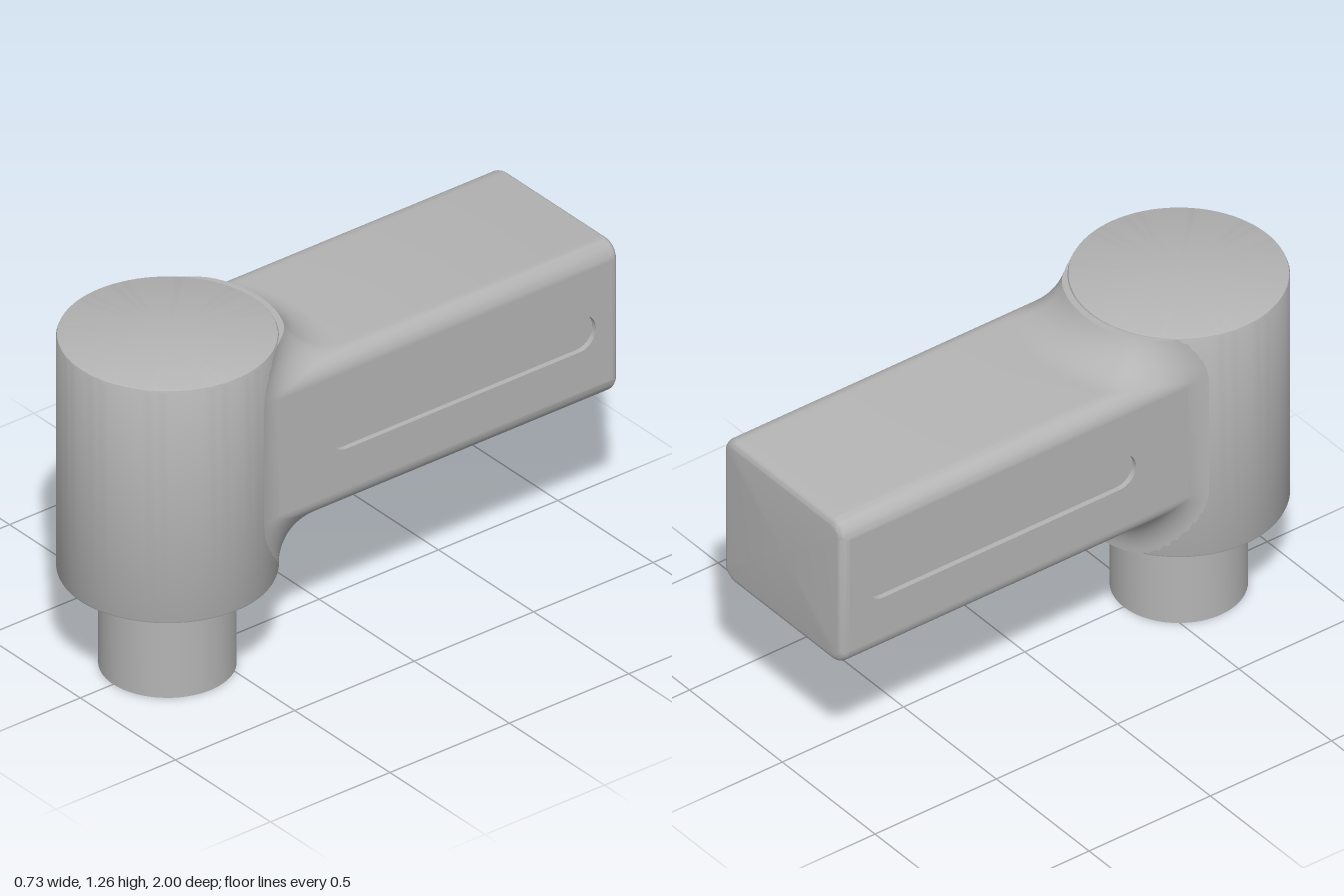
import * as THREE from 'three';
import { toCreasedNormals } from 'three/addons/utils/BufferGeometryUtils.js';

const AXIS_Z = 0.635, HEAD_R = 0.365, HEAD_TOP = 1.26, HEAD_BOTTOM = 0.365;
const ARM = { hw: 0.325, y0: 0.565, y1: 1.145, corner: 0.065, back: -1, endR: 0.03 };
const FILLET = 0.2, SLOT_DEPTH = 0.02;

// z of the rolling-ball centre that blends an arm point into the round head
const ballZ = (cx) => AXIS_Z - Math.sqrt((HEAD_R + FILLET) ** 2 - cx * cx);

// rounded rectangle outline, for shapes and holes
function roundedRect(path, cx, cy, w, h, r) {
  const x = w / 2 - r, y = h / 2 - r;
  path.absarc(cx + x, cy + y, r, 0, Math.PI / 2);
  path.absarc(cx - x, cy + y, r, Math.PI / 2, Math.PI);
  path.absarc(cx - x, cy - y, r, Math.PI, 1.5 * Math.PI);
  path.absarc(cx + x, cy - y, r, 1.5 * Math.PI, 2 * Math.PI);
  path.closePath();
  return path;
}

// arm cross-section: points with outward normals, counter-clockwise from the front
function armSection() {
  const pts = [], { hw, y0, y1, corner: c } = ARM, N = 10, FLAT = 28;
  const centres = [[hw - c, y1 - c], [c - hw, y1 - c], [c - hw, y0 + c], [hw - c, y0 + c]];
  centres.forEach(([x, y], k) => {
    for (let i = 0; i <= N; i++) {
      const a = (k + i / N) * Math.PI / 2, nx = Math.cos(a), ny = Math.sin(a);
      pts.push({ x: x + c * nx, y: y + c * ny, nx, ny, side: i === N && k % 2 === 1 - 1 ? false : false });
    }
    const last = pts[pts.length - 1];
    if (k % 2 === 0) { // top and bottom are subdivided to follow the head
      for (let i = 1; i < FLAT; i++) {
        pts.push({ ...last, x: last.x * (1 - 2 * i / FLAT) });
      }
    } else last.side = true; // a flat side starts here
  });
  return pts;
}

// arm body: rounded back end, straight run, then a concave fillet onto the head
function armGeometry() {
  const section = armSection(), n = section.length, END = 6, ARC = 14;
  const rows = [];
  for (let k = 0; k <= END; k++) {
    const a = (k / END) * Math.PI / 2, inset = ARM.endR * (1 - Math.sin(a));
    const z = ARM.back + ARM.endR * (1 - Math.cos(a));
    rows.push(section.map((p) => [p.x - p.nx * inset, p.y - p.ny * inset, z]));
  }
  const arcs = section.map((p) => {
    const c = new THREE.Vector3(p.x + FILLET * p.nx, p.y + FILLET * p.ny, 0);
    c.z = ballZ(c.x);
    const d0 = new THREE.Vector3(-p.nx, -p.ny, 0);
    const d1 = new THREE.Vector3(-c.x, 0, AXIS_Z - c.z).normalize();
    const angle = d0.angleTo(d1), limit = HEAD_TOP - 0.006;
    let end = 1; // the fillet is cut off level with the head top
    if (c.y > limit) end = 1 - Math.asin((c.y - limit) * Math.sin(angle) / (FILLET * p.ny)) / angle;
    const out = [];
    for (let k = 0; k <= ARC; k++) {
      const s = end * k / ARC;
      const v = c.clone()
        .addScaledVector(d0, FILLET * Math.sin((1 - s) * angle) / Math.sin(angle))
        .addScaledVector(d1, FILLET * Math.sin(s * angle) / Math.sin(angle));
      out.push([v.x, v.y, v.z]);
    }
    const t = c.clone().addScaledVector(d1, FILLET);
    out.push([t.x, Math.min(t.y, limit), t.z]);
    return out;
  });
  for (let k = 0; k <= ARC + 1; k++) rows.push(arcs.map((a) => a[k]));

  const pos = rows.flat(2), index = [];
  for (let j = 0; j < rows.length - 1; j++) {
    for (let i = 0; i < n; i++) {
      if (j === END && section[i].side) continue; // left open for the slotted side panel
      const a = j * n + i, b = j * n + (i + 1) % n;
      index.push(a, b, a + n, b, b + n, a + n);
    }
  }
  const centre = pos.length / 3;
  pos.push(0, (ARM.y0 + ARM.y1) / 2, ARM.back);
  for (let i = 0; i < n; i++) index.push(centre, (i + 1) % n, i);
  const g = new THREE.BufferGeometry();
  g.setAttribute('position', new THREE.Float32BufferAttribute(pos, 3));
  g.setIndex(index);
  return toCreasedNormals(g, 0.6);
}

function lathe(points) {
  const g = new THREE.LatheGeometry(points.map(([x, y]) => new THREE.Vector2(x, y)), 96);
  return toCreasedNormals(g, 0.5).translate(0, 0, AXIS_Z);
}

export function createModel() {
  const group = new THREE.Group();
  const grey = new THREE.MeshStandardMaterial({ color: 0xb4b4b4 });
  const add = (name, geometry) => {
    const mesh = new THREE.Mesh(geometry, grey);
    grey.name = 'grey';
    mesh.name = name;
    group.add(mesh);
    return mesh;
  };

  // round head with softened rims and a narrow gap around the spigot
  const e = 0.01;
  add('head', lathe([
    [0, 0.42], [0.243, 0.42], [0.243, HEAD_BOTTOM], [HEAD_R - e, HEAD_BOTTOM],
    [HEAD_R - e * 0.3, HEAD_BOTTOM + e * 0.3], [HEAD_R, HEAD_BOTTOM + e],
    [HEAD_R, HEAD_TOP - e], [HEAD_R - e * 0.3, HEAD_TOP - e * 0.3],
    [HEAD_R - e, HEAD_TOP], [0, HEAD_TOP],
  ]));

  // hollow spigot under the head
  add('spigotTube', lathe([[0.213, 0.42], [0.213, 0], [0.227, 0], [0.227, 0.42]]));

  add('arm', armGeometry());

  // flat arm sides with a long shallow slot
  const z0 = ARM.back + ARM.endR, z1 = ballZ(ARM.hw + FILLET);
  const v0 = ARM.y0 + ARM.corner, v1 = ARM.y1 - ARM.corner;
  const slotZ = -0.345, slotY = 0.853;
  for (const s of [1, -1]) {
    const name = s > 0 ? 'left' : 'right';
    const panel = new THREE.Shape();
    panel.moveTo(-s * z0, v0).lineTo(-s * z1, v0).lineTo(-s * z1, v1).lineTo(-s * z0, v1).closePath();
    panel.holes.push(roundedRect(new THREE.Path(), -s * slotZ, slotY, 1.11, 0.135, 0.067));
    add(name + 'SidePanel', new THREE.ExtrudeGeometry(panel, { depth: SLOT_DEPTH, bevelEnabled: false, curveSegments: 16 })
      .rotateY(s * Math.PI / 2).translate(s * (ARM.hw - SLOT_DEPTH), 0, 0));
    add(name + 'SlotFloor', new THREE.BoxGeometry(0.01, 0.16, 1.14))
      .position.set(s * (ARM.hw - SLOT_DEPTH - 0.004), slotY, slotZ);
  }

  // raised pad under the arm with two windows and a curved slit
  const pad = roundedRect(new THREE.Shape(), 0, -0.51, 0.36, 0.66, 0.07);
  for (const z of [-0.395, -0.585]) {
    pad.holes.push(roundedRect(new THREE.Path(), 0.01, z, 0.115, 0.115, 0.03));
  }
  const slit = new THREE.Path(), mid = -Math.PI / 2;
  slit.absarc(0, -0.55, 0.173, mid - 0.67, mid + 0.67, false);
  slit.absarc(0, -0.55, 0.147, mid + 0.67, mid - 0.67, true);
  slit.closePath();
  pad.holes.push(slit);
  add('undersidePad', new THREE.ExtrudeGeometry(pad, { depth: 0.02, bevelEnabled: false, curveSegments: 12 })
    .rotateX(Math.PI / 2).translate(0, ARM.y0 + 0.002, 0));

  return group;
}
